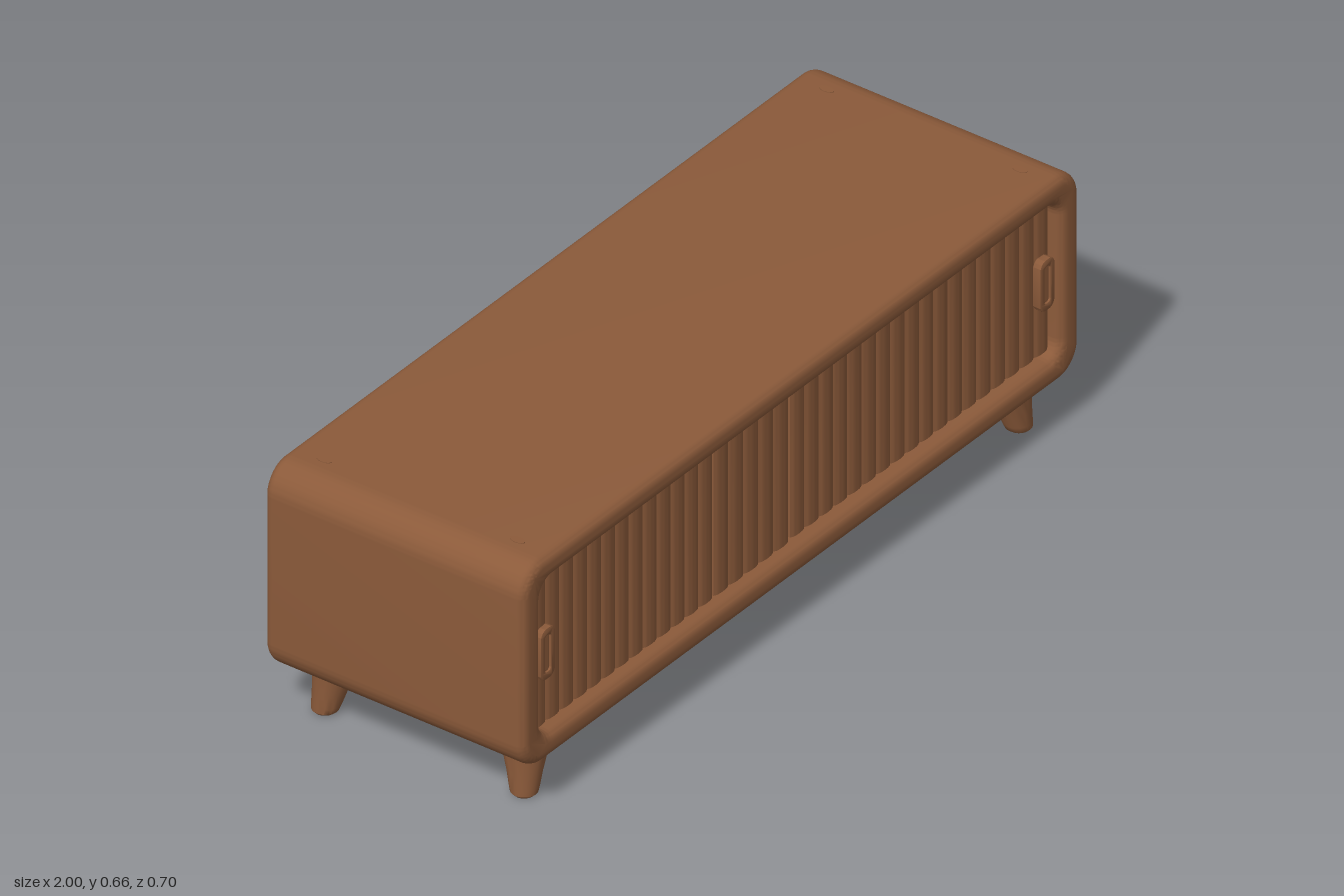
import * as THREE from 'three';
import { toCreasedNormals } from 'three/addons/utils/BufferGeometryUtils.js';
import { RoundedBoxGeometry } from 'three/addons/geometries/RoundedBoxGeometry.js';

const wood = new THREE.MeshStandardMaterial({ color: 0x8b5a3a });
wood.name = 'walnut';

function add(group, name, geometry, x = 0, y = 0, z = 0) {
  const mesh = new THREE.Mesh(geometry, wood);
  mesh.name = name;
  mesh.position.set(x, y, z);
  group.add(mesh);
  return mesh;
}

// Rounded rectangle centred on the origin
function roundedRect(w, h, r, target = new THREE.Shape()) {
  const x = w / 2, y = h / 2;
  target.moveTo(-x + r, -y);
  target.lineTo(x - r, -y);
  target.absarc(x - r, -y + r, r, -Math.PI / 2, 0);
  target.absarc(x - r, y - r, r, 0, Math.PI / 2);
  target.absarc(-x + r, y - r, r, Math.PI / 2, Math.PI);
  target.absarc(-x + r, -y + r, r, Math.PI, Math.PI * 1.5);
  return target;
}

// Open rounded shell with softened front and back rims
function shellGeometry() {
  const b = 0.024, depth = 0.7;
  const shape = roundedRect(2 - 2 * b, 0.526 - 2 * b, 0.075 - b);
  shape.holes.push(roundedRect(1.86 + 2 * b, 0.4 + 2 * b, 0.04 + b, new THREE.Path()));
  const geo = new THREE.ExtrudeGeometry(shape, {
    depth: depth - 2 * b, bevelEnabled: true, bevelSize: b, bevelThickness: b,
    bevelSegments: 5, curveSegments: 10,
  });
  geo.translate(0, 0, -depth / 2 + b);
  return toCreasedNormals(geo, 0.6);
}

// Door with a gently fluted front, extruded upward from its plan outline
function doorGeometry(width, ribs, height) {
  const shape = new THREE.Shape();
  const steps = ribs * 8;
  shape.moveTo(0, 0.02);
  shape.lineTo(width, 0.02);
  for (let i = steps; i >= 0; i--) {
    const wave = Math.abs(Math.sin((i / 8) * Math.PI));
    shape.lineTo((i / steps) * width, -0.006 * Math.sqrt(wave));
  }
  const geo = new THREE.ExtrudeGeometry(shape, { depth: height, bevelEnabled: false });
  geo.rotateX(-Math.PI / 2);
  // Plan y becomes -z, so the flutes face +z
  geo.translate(0, -height / 2, 0);
  return toCreasedNormals(geo, 0.6);
}

// Tapered leg leaning outward toward +x and +z
function legGeometry() {
  const profile = [[0, 0], [0.024, 0], [0.031, 0.006], [0.034, 0.02], [0.04, 0.055],
    [0.05, 0.1], [0.058, 0.135], [0, 0.135]];
  const geo = new THREE.LatheGeometry(profile.map(([r, y]) => new THREE.Vector2(r, y)), 24);
  const p = geo.attributes.position;
  for (let i = 0; i < p.count; i++) {
    const t = 1 - p.getY(i) / 0.135;
    p.setX(i, p.getX(i) + 0.027 * t);
    p.setZ(i, p.getZ(i) + 0.016 * t);
  }
  return toCreasedNormals(geo, 0.7);
}

export function createModel() {
  const model = new THREE.Group();
  model.name = 'lowSideboard';
  const midY = 0.392, doorY = 0.395;

  add(model, 'shell', shellGeometry(), 0, midY, 0);

  // Recessed back panel with an inner step
  add(model, 'backPanel', new THREE.BoxGeometry(1.87, 0.41, 0.02), 0, midY, -0.3);

  // Sliding doors, split by a dark central gap
  const doors = new THREE.Group();
  doors.name = 'doors';
  model.add(doors);
  add(doors, 'doorBacking', new THREE.BoxGeometry(1.87, 0.41, 0.01), 0, midY, 0.29);
  add(doors, 'rightDoorOuter', doorGeometry(0.648, 13, 0.385), -0.928, doorY, 0.318);
  add(doors, 'rightDoorInner', doorGeometry(0.268, 5, 0.385), -0.276, doorY, 0.318);
  add(doors, 'leftDoor', doorGeometry(0.924, 18, 0.385), 0.004, doorY, 0.314);

  // Upright pulls with a raised rim
  const pullShape = roundedRect(0.046, 0.125, 0.018);
  pullShape.holes.push(roundedRect(0.026, 0.1, 0.01, new THREE.Path()));
  const rim = toCreasedNormals(new THREE.ExtrudeGeometry(pullShape, {
    depth: 0.016, bevelEnabled: true, bevelSize: 0.003, bevelThickness: 0.003, bevelSegments: 2,
  }), 0.6);
  for (const s of [-1, 1]) {
    const handle = new THREE.Group();
    handle.name = s < 0 ? 'rightHandle' : 'leftHandle';
    handle.position.set(s * 0.895, midY, 0.32);
    add(handle, 'handleRim', rim);
    add(handle, 'handleCore', new RoundedBoxGeometry(0.036, 0.112, 0.028, 3, 0.012));
    model.add(handle);
  }

  // Four splayed legs and the small joint marks above them
  const leg = legGeometry();
  const mark = new THREE.CylinderGeometry(0.01, 0.01, 0.004, 12).scale(1, 1, 1.9);
  for (const front of [true, false]) {
    for (const left of [true, false]) {
      const x = left ? 1 : -1, z = front ? 1 : -1;
      const name = (front ? 'front' : 'back') + (left ? 'Left' : 'Right');
      const mesh = add(model, name + 'Leg', leg, x * 0.86, 0, z * 0.252);
      // Quarter turns keep the outward lean; mirrored scale handles the rest
      mesh.scale.set(x, 1, z);
      add(model, name + 'JointMark', mark, x * 0.9, 0.6545, z * 0.26);
    }
  }
  return model;
}
